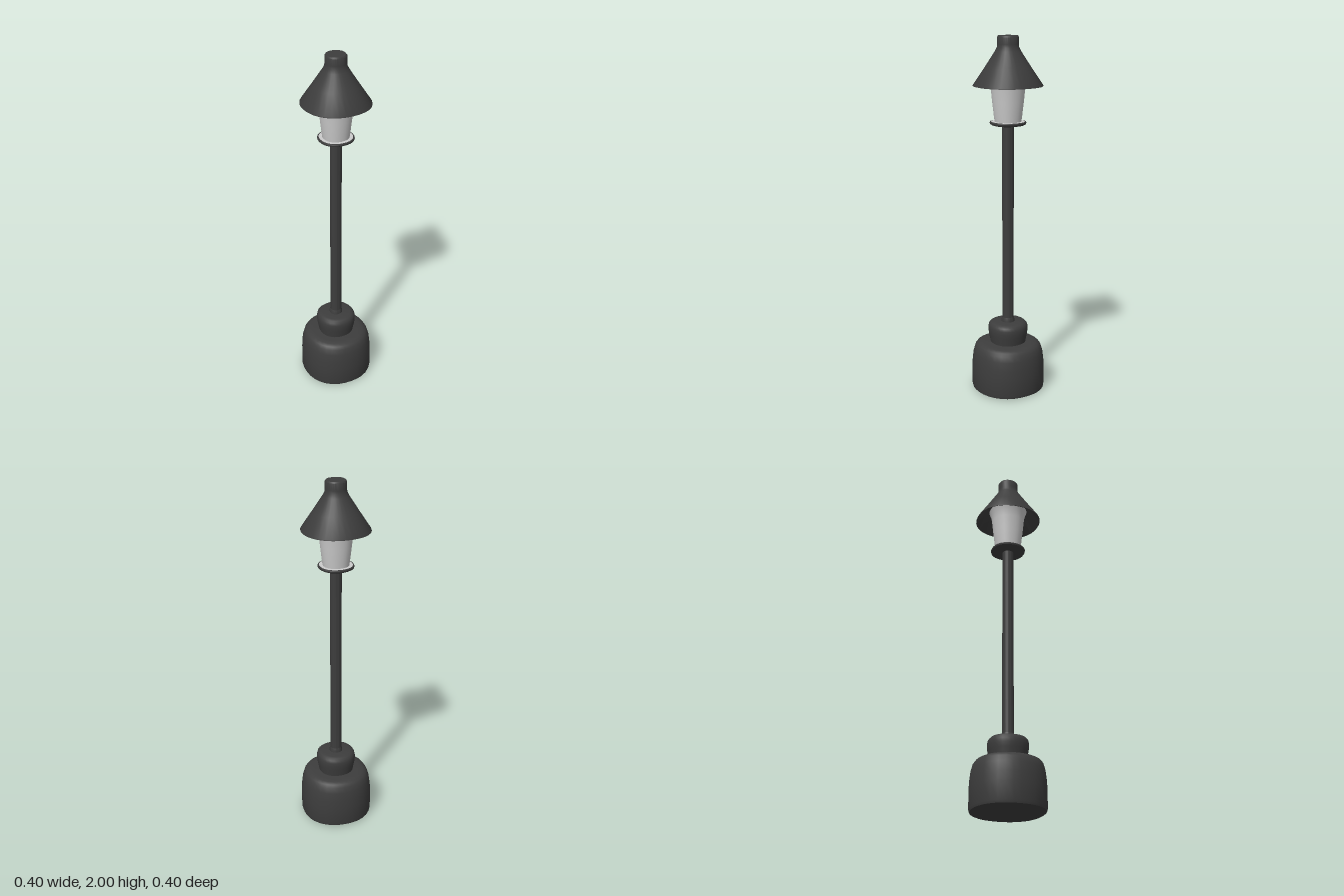
import * as THREE from 'three';
import { toCreasedNormals } from 'three/addons/utils/BufferGeometryUtils.js';

const darkMetal = new THREE.MeshStandardMaterial({ color: 0x3d3d3d, side: THREE.DoubleSide });
const paleGlass = new THREE.MeshStandardMaterial({ color: 0xcccccc, side: THREE.DoubleSide });

// Turn a [radius, height] profile, then swell its diagonals into a soft rounded square
function turned(name, profile, material, power = 2.2) {
  const points = profile.map(([r, y]) => new THREE.Vector2(r, y));
  const geometry = new THREE.LatheGeometry(points, 32);
  const pos = geometry.attributes.position;
  for (let i = 0; i < pos.count; i++) {
    const x = pos.getX(i), z = pos.getZ(i), r = Math.hypot(x, z);
    if (r < 1e-6) continue;
    const c = Math.abs(x / r), s = Math.abs(z / r);
    const k = Math.pow(Math.pow(c, power) + Math.pow(s, power), -1 / power);
    pos.setXYZ(i, x * k, pos.getY(i), z * k);
  }
  const mesh = new THREE.Mesh(toCreasedNormals(geometry, 0.65), material);
  mesh.name = name;
  return mesh;
}

export function createModel() {
  const lamp = new THREE.Group();
  lamp.name = 'gardenLamp';

  // Heavy foot with a rounded shoulder
  lamp.add(turned('base', [
    [0, 0], [0.185, 0], [0.196, 0.006], [0.2, 0.02], [0.2, 0.12], [0.198, 0.17],
    [0.192, 0.22], [0.183, 0.252], [0.172, 0.268], [0.155, 0.277], [0.13, 0.28], [0, 0.28],
  ], darkMetal));

  // Collar bulging above the foot
  lamp.add(turned('collar', [
    [0, 0.275], [0.097, 0.275], [0.099, 0.29], [0.106, 0.325], [0.109, 0.35], [0.109, 0.37],
    [0.105, 0.386], [0.095, 0.396], [0.08, 0.4], [0, 0.4],
  ], darkMetal));

  // Post with a small ring at its foot
  lamp.add(turned('postRing', [[0.036, 0.39], [0.036, 0.41], [0.031, 0.425]], darkMetal));
  lamp.add(turned('post', [[0.031, 0.39], [0.031, 1.53]], darkMetal));

  // Dish under the lantern, with a pale upper face
  lamp.add(turned('lanternDish', [
    [0, 1.525], [0.085, 1.525], [0.095, 1.531], [0.097, 1.538], [0.095, 1.543], [0.088, 1.544],
  ], darkMetal));
  lamp.add(turned('dishTop', [[0.089, 1.544], [0, 1.544]], paleGlass));

  // Tapered glass, flaring inside the shade
  lamp.add(turned('glass', [
    [0.07, 1.54], [0.074, 1.57], [0.083, 1.65], [0.091, 1.73], [0.097, 1.77], [0.108, 1.8], [0, 1.8],
  ], paleGlass));

  // Hollow conical shade with a flat cap
  lamp.add(turned('shade', [
    [0.05, 1.925], [0.178, 1.737], [0.184, 1.735], [0.183, 1.74], [0.12, 1.836],
    [0.068, 1.918], [0.058, 1.938], [0.056, 1.955], [0.056, 1.993], [0.051, 2], [0, 2],
  ], darkMetal));

  return lamp;
}
